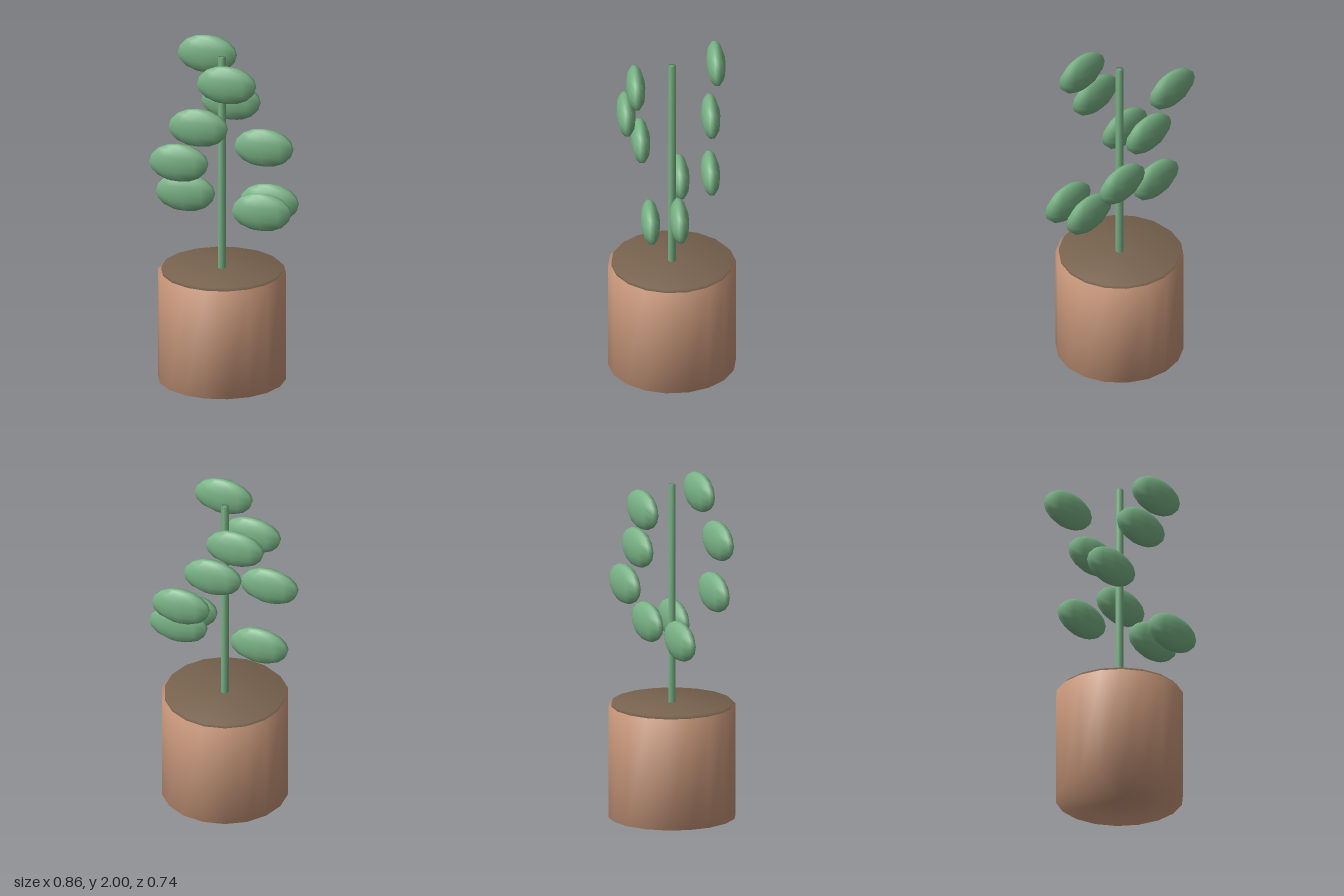
import * as THREE from 'three';
import { mergeVertices } from 'three/addons/utils/BufferGeometryUtils.js';

const terracotta = new THREE.MeshStandardMaterial({ name: 'terracotta', color: 0xc8977a });
const soilBrown = new THREE.MeshStandardMaterial({ name: 'soilBrown', color: 0x78634f });
const leafGreen = new THREE.MeshStandardMaterial({ name: 'leafGreen', color: 0x79b285 });

const AXIS_X = -0.021;

// Low-poly geometry with shared, fully smoothed normals
function smooth(geometry) {
  geometry.deleteAttribute('normal');
  geometry.deleteAttribute('uv');
  const merged = mergeVertices(geometry, 1e-4);
  merged.computeVertexNormals();
  return merged;
}

// Upright cylinder on the plant axis, between two heights
function column(name, radius, bottom, top, sides, material) {
  const geometry = smooth(new THREE.CylinderGeometry(radius, radius, top - bottom, sides));
  const mesh = new THREE.Mesh(geometry, material);
  mesh.name = name;
  mesh.position.set(AXIS_X, (bottom + top) / 2, 0);
  return mesh;
}

export function createModel() {
  const plant = new THREE.Group();
  plant.name = 'pottedPlant';

  // Pot, soil and stem
  plant.add(
    column('pot', 0.371, 0, 0.657, 18, terracotta),
    column('soil', 0.352, 0.6, 0.677, 18, soilBrown),
    column('stem', 0.024, 0.66, 1.972, 6, leafGreen),
  );

  // Flattened ten-sided leaves in four tiers around the stem
  const leafGeometry = smooth(new THREE.SphereGeometry(1, 10, 8));
  leafGeometry.rotateY(Math.PI / 2);
  leafGeometry.scale(0.182, 0.115, 0.056);
  const leafCentres = [
    [-0.257, 1.096, -0.065], [0.257, 1.096, -0.021], [0.257, 1.096, 0.148],
    [-0.235, 1.36, 0.165], [0.175, 1.36, -0.207],
    [-0.092, 1.623, 0.262], [-0.027, 1.623, -0.225],
    [-0.18, 1.885, -0.268], [0.066, 1.885, 0.218],
  ];
  leafCentres.forEach((centre, i) => {
    const leaf = new THREE.Mesh(leafGeometry, leafGreen);
    leaf.name = `leaf${i + 1}`;
    leaf.position.set(...centre);
    plant.add(leaf);
  });

  return plant;
}
